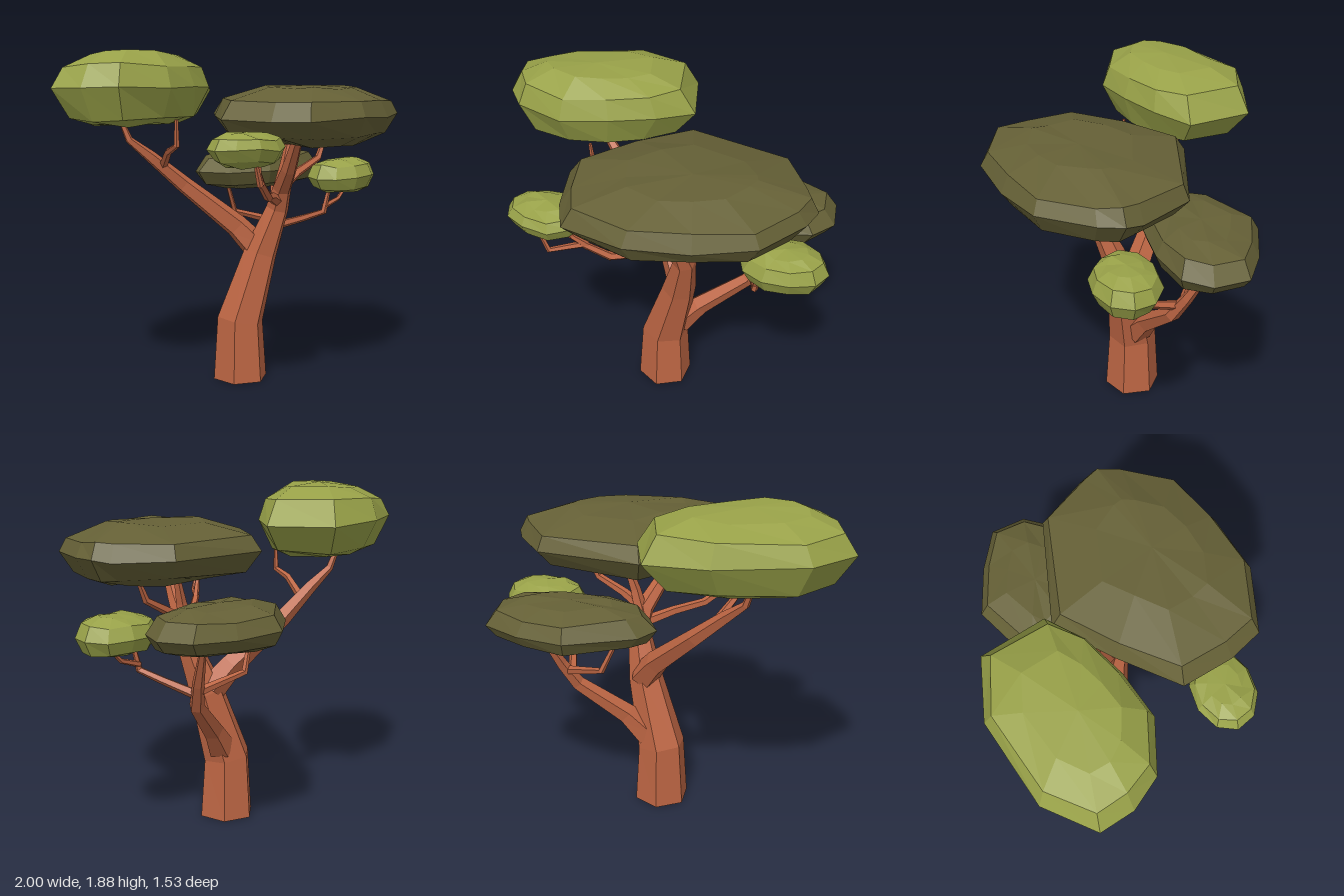
import * as THREE from 'three';

const bark = new THREE.MeshStandardMaterial({ color: 0xbc6543 });
bark.name = 'bark';
const darkLeaf = new THREE.MeshStandardMaterial({ color: 0x656036 });
darkLeaf.name = 'dark foliage';
const lightLeaf = new THREE.MeshStandardMaterial({ color: 0x98a148 });
lightLeaf.name = 'light foliage';

// Joins rings of points (bottom to top) into a closed, faceted solid
function loft(rings, bottom, top) {
  const pos = [];
  const tri = (...pts) => pts.forEach((p) => pos.push(p.x, p.y, p.z));
  const n = rings[0].length;
  for (let i = 0; i < n; i++) {
    const j = (i + 1) % n;
    tri(bottom, rings[0][i], rings[0][j]);
    for (let k = 0; k + 1 < rings.length; k++) {
      tri(rings[k][i], rings[k + 1][i], rings[k + 1][j]);
      tri(rings[k][i], rings[k + 1][j], rings[k][j]);
    }
    const last = rings[rings.length - 1];
    tri(top, last[j], last[i]);
  }
  const geo = new THREE.BufferGeometry();
  geo.setAttribute('position', new THREE.Float32BufferAttribute(pos, 3));
  geo.computeVertexNormals(); // unshared corners give flat facets
  return geo;
}

// Tapered limb through [x, y, z, radius] stations
function limb(name, stations, sides = 5) {
  const pts = stations.map((s) => new THREE.Vector3(s[0], s[1], s[2]));
  const last = pts.length - 1;
  let u = null;
  const rings = pts.map((p, k) => {
    const t = new THREE.Vector3();
    if (k > 0) t.add(p.clone().sub(pts[k - 1]).normalize());
    if (k < last) t.add(pts[k + 1].clone().sub(p).normalize());
    t.normalize();
    if (!u) u = Math.abs(t.z) > 0.8 ? new THREE.Vector3(1, 0, 0) : new THREE.Vector3(0, 0, 1);
    u = u.clone().addScaledVector(t, -u.dot(t)).normalize();
    const v = u.clone().cross(t);
    return Array.from({ length: sides }, (_, i) => {
      const a = (i / sides) * Math.PI * 2;
      return p.clone()
        .addScaledVector(u, Math.cos(a) * stations[k][3])
        .addScaledVector(v, Math.sin(a) * stations[k][3]);
    });
  });
  const mesh = new THREE.Mesh(loft(rings, pts[0], pts[last]), bark);
  mesh.name = name;
  return mesh;
}

// Leaf cushion: plan outline [x, z] stacked as layers of [height, scale]
function cushion(name, material, outline, layers, seed, rough) {
  let s = seed;
  const jitter = () => {
    s = (s * 16807) % 2147483647;
    return (s / 2147483647 - 0.5) * 2 * rough;
  };
  const cx = outline.reduce((a, p) => a + p[0], 0) / outline.length;
  const cz = outline.reduce((a, p) => a + p[1], 0) / outline.length;
  const rings = layers.map(([y, k]) => outline.map(([x, z]) => {
    const w = k === 1 ? 1 : k * (1 + jitter() * 2);
    return new THREE.Vector3(cx + (x - cx) * w, y + jitter(), cz + (z - cz) * w);
  }));
  const bottom = new THREE.Vector3(cx, layers[0][0] - rough * 0.5, cz);
  const top = new THREE.Vector3(cx, layers[layers.length - 1][0] + rough, cz);
  const mesh = new THREE.Mesh(loft(rings, bottom, top), material);
  mesh.name = name;
  return mesh;
}

const oval = (cx, cz, rx, rz, n = 10) => Array.from({ length: n }, (_, i) => {
  const a = (i / n) * Math.PI * 2;
  return [cx + Math.cos(a) * rx, cz + Math.sin(a) * rz];
});

export function createModel() {
  const tree = new THREE.Group();
  tree.name = 'tree';

  // Trunk and limbs
  tree.add(
    limb('trunk', [
      [0.042, 0, -0.055, 0.16], [0.042, 0.35, -0.055, 0.138], [0.145, 0.74, 0.01, 0.1],
      [0.2, 1.0, 0.09, 0.068], [0.18, 1.12, 0.14, 0.056], [0.11, 1.24, 0.25, 0.045],
      [0.04, 1.42, 0.37, 0.03],
    ], 6),
    limb('backLeftLimb', [
      [0.15, 0.76, -0.02, 0.085], [0.06, 0.89, -0.1, 0.07], [-0.19, 1.14, -0.28, 0.05],
      [-0.36, 1.3, -0.36, 0.036], [-0.47, 1.4, -0.42, 0.022], [-0.52, 1.56, -0.46, 0.012],
    ]),
    limb('backLeftTwig', [
      [-0.3, 1.25, -0.33, 0.025], [-0.38, 1.34, -0.2, 0.02], [-0.41, 1.38, -0.1, 0.017],
      [-0.42, 1.52, -0.09, 0.01],
    ]),
    limb('rightLimb', [
      [0.12, 0.42, -0.07, 0.085], [0.24, 0.55, -0.1, 0.06], [0.5, 0.76, -0.18, 0.042],
      [0.57, 0.9, -0.24, 0.033], [0.65, 1.11, -0.33, 0.018],
    ]),
    limb('rightLimbInnerTwig', [
      [0.53, 0.86, -0.23, 0.025], [0.31, 0.93, -0.35, 0.019], [0.22, 1.12, -0.33, 0.012],
    ]),
    limb('rightLimbFrontTwig', [
      [0.52, 0.83, -0.2, 0.028], [0.57, 0.89, -0.02, 0.022], [0.61, 0.94, 0.11, 0.02],
      [0.64, 1.1, 0.13, 0.012],
    ]),
    limb('rightLimbOuterTwig', [
      [0.61, 0.97, 0.11, 0.018], [0.74, 1.01, 0.12, 0.014], [0.82, 1.08, 0.12, 0.009],
    ]),
    limb('frontLeftLimb', [
      [0.19, 1.04, 0.1, 0.035], [0.02, 1.09, 0.2, 0.028], [-0.14, 1.11, 0.32, 0.025],
      [-0.27, 1.2, 0.38, 0.021], [-0.41, 1.21, 0.5, 0.017], [-0.46, 1.34, 0.51, 0.01],
    ]),
    limb('frontLeftTwig', [
      [-0.25, 1.19, 0.37, 0.02], [-0.32, 1.26, 0.41, 0.016], [-0.34, 1.36, 0.43, 0.01],
    ]),
    limb('upperLimb', [
      [0.19, 1.08, 0.11, 0.045], [0.23, 1.24, 0.12, 0.032], [0.29, 1.43, 0.11, 0.016],
    ]),
    limb('upperRightLimb', [
      [0.19, 1.12, 0.13, 0.035], [0.3, 1.2, 0.15, 0.027], [0.46, 1.28, 0.18, 0.021],
      [0.53, 1.41, 0.18, 0.012],
    ]),
  );

  // Large cushions
  tree.add(
    cushion('backLeftCanopy', lightLeaf, [
      [-1, -0.4], [-0.8, -0.63], [-0.34, -0.77], [0, -0.7], [0.1, -0.35], [-0.07, -0.19],
      [-0.3, -0.07], [-0.55, 0.01], [-0.83, -0.07], [-0.95, -0.22],
    ], [[1.495, 0.55], [1.53, 0.8], [1.68, 1], [1.8, 0.87], [1.87, 0.55]], 11, 0.015),
    cushion('centreCanopy', darkLeaf, [
      [0.1, -0.32], [0.69, -0.2], [0.87, 0.06], [0.91, 0.15], [0.88, 0.28], [0.72, 0.55],
      [0.43, 0.68], [0.11, 0.76], [-0.24, 0.68], [-0.33, 0.5], [-0.4, 0.22], [-0.16, -0.06],
    ], [[1.38, 0.55], [1.43, 0.86], [1.53, 1], [1.62, 0.92], [1.69, 0.5]], 29, 0.012),
    cushion('backRightCanopy', darkLeaf, [
      [0, -0.35], [0.08, -0.46], [0.43, -0.65], [0.7, -0.57], [0.91, -0.46], [0.94, -0.27],
      [0.85, -0.13], [0.6, -0.06], [0.3, -0.05], [0.08, -0.18],
    ], [[1.09, 0.6], [1.12, 0.88], [1.19, 1], [1.27, 0.85], [1.31, 0.5]], 47, 0.01),
  );

  // Small cushions
  tree.add(
    cushion('frontLeftTuft', lightLeaf, oval(-0.435, 0.43, 0.225, 0.17),
      [[1.305, 0.5], [1.33, 0.82], [1.39, 1], [1.44, 0.86], [1.465, 0.5]], 61, 0.01),
    cushion('rightTuft', lightLeaf, oval(0.76, 0.125, 0.24, 0.185),
      [[1.06, 0.55], [1.08, 0.82], [1.15, 1], [1.22, 0.84], [1.25, 0.5]], 83, 0.01),
  );
  return tree;
}
